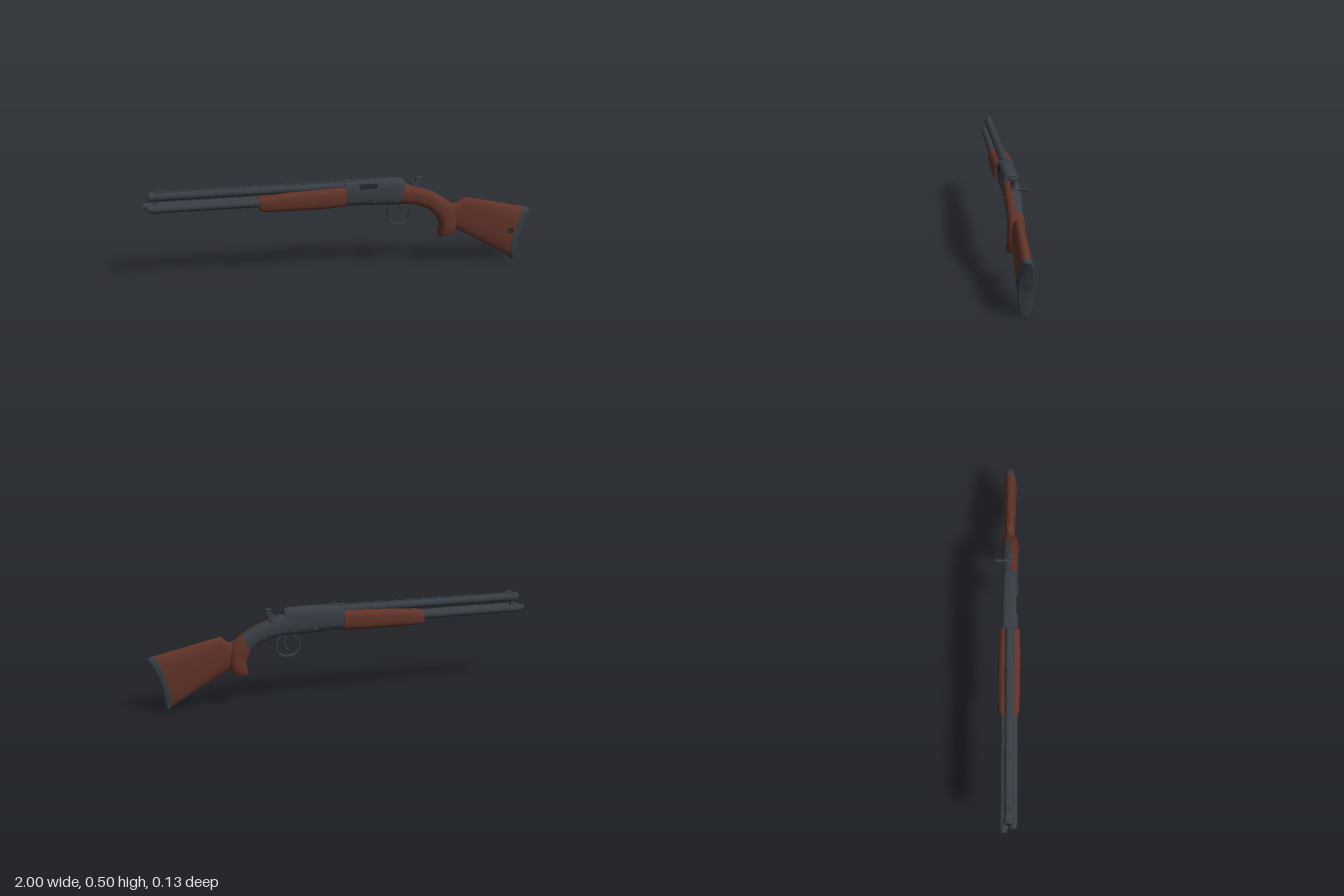
import * as THREE from 'three';
import { toCreasedNormals } from 'three/addons/utils/BufferGeometryUtils.js';

const ZC = 0.009; // centre plane of the gun

export function createModel() {
  const root = new THREE.Group();
  const wood = new THREE.MeshStandardMaterial({ color: 0x5f3228 });
  wood.name = 'walnut wood';
  const metal = new THREE.MeshStandardMaterial({ color: 0x363d43 });
  metal.name = 'blued steel';
  const dark = new THREE.MeshStandardMaterial({ color: 0x1e2226 });
  dark.name = 'dark recess';

  const add = (name, geo, mat, x = 0, y = 0, z = 0, parent = root) => {
    const m = new THREE.Mesh(geo, mat);
    m.name = name;
    m.position.set(x, y, z);
    parent.add(m);
    return m;
  };
  const box = (name, mat, w, h, d, x, y, z = ZC) => add(name, new THREE.BoxGeometry(w, h, d), mat, x, y, z);
  const rod = (name, mat, r, x0, x1, y, z = ZC) =>
    add(name, new THREE.CylinderGeometry(r, r, x1 - x0, 20).rotateZ(-Math.PI / 2), mat, (x0 + x1) / 2, y, z);
  const pin = (name, mat, r, len, x, y, z) =>
    add(name, new THREE.CylinderGeometry(r, r, len, 14).rotateX(Math.PI / 2), mat, x, y, z);

  // Skin over sections [topX, topY, bottomX, bottomY, halfWidth, power, bow]
  const loft = (sections, a0 = 0, a1 = Math.PI * 2, n = 28) => {
    const pw = (v, p) => Math.sign(v) * Math.pow(Math.abs(v), 2 / p);
    const rings = sections.map(([tx, ty, bx, by, w, p = 2.6, bow = 0]) => {
      const ring = [];
      for (let j = 0; j <= n; j++) {
        const a = a0 + ((a1 - a0) * j) / n;
        const u = 0.5 + 0.5 * pw(Math.sin(a), p);
        ring.push([bx + (tx - bx) * u + bow * 4 * u * (1 - u), by + (ty - by) * u, ZC + w * pw(Math.cos(a), p)]);
      }
      return ring;
    });
    const pos = [];
    const tri = (a, b, c) => pos.push(...a, ...b, ...c);
    for (let i = 0; i < rings.length - 1; i++)
      for (let j = 0; j < n; j++) {
        const a = rings[i][j], b = rings[i + 1][j], c = rings[i][j + 1], d = rings[i + 1][j + 1];
        tri(a, b, c);
        tri(b, d, c);
      }
    [0, rings.length - 1].forEach((i) => {
      const [tx, ty, bx, by, , , bow = 0] = sections[i];
      const c = [(tx + bx) / 2 + bow, (ty + by) / 2, ZC];
      for (let j = 0; j < n; j++)
        i === 0 ? tri(c, rings[i][j], rings[i][j + 1]) : tri(c, rings[i][j + 1], rings[i][j]);
    });
    const g = new THREE.BufferGeometry();
    g.setAttribute('position', new THREE.Float32BufferAttribute(pos, 3));
    return toCreasedNormals(g, 0.7);
  };
  // Upright section at one x
  const at = (x, top, bot, w, p) => [x, top, x, bot, w, p];

  // Barrel with muzzle collar, bore and segmented rib
  rod('barrel', metal, 0.022, -0.965, 0.05, 0.465);
  rod('muzzleCollar', metal, 0.025, -0.97, -0.945, 0.465);
  rod('bore', dark, 0.015, -0.973, -0.965, 0.465);
  box('rib', metal, 0.95, 0.008, 0.014, -0.45, 0.485);
  for (let i = 0; i < 9; i++) box('ribSegment', metal, 0.045, 0.005, 0.016, -0.7 + i * 0.085, 0.49);

  // Twin tubes beneath the barrel
  [[-0.013, -0.985], [0.03, -0.965]].forEach(([z, x0]) => {
    rod('lowerTube', metal, 0.0205, x0, 0.03, 0.408, z);
    rod('tubeNose', metal, 0.016, x0 - 0.015, x0, 0.412, z);
    rod('tubeBand', metal, 0.0225, -0.955, -0.94, 0.408, z);
  });
  box('barrelBracket', metal, 0.025, 0.06, 0.024, -0.945, 0.435);

  // Front and rear sights
  const hump = new THREE.Shape();
  hump.moveTo(-0.035, 0);
  hump.quadraticCurveTo(-0.012, 0.022, 0.0, 0.018);
  hump.lineTo(0.035, 0);
  const humpGeo = new THREE.ExtrudeGeometry(hump, { depth: 0.016, bevelEnabled: false });
  add('frontSight', humpGeo, metal, -0.918, 0.484, ZC - 0.008);
  box('rearSightBase', metal, 0.08, 0.008, 0.026, 0.035, 0.491);
  [-1, 1].forEach((s) => box('rearSightEar', metal, 0.02, 0.01, 0.004, 0.05, 0.497, ZC + s * 0.01));

  // Forend
  add('forend', loft([
    at(-0.43, 0.43, 0.37, 0.04, 4),
    at(-0.405, 0.436, 0.36, 0.05, 4),
    at(-0.29, 0.453, 0.357, 0.054, 3.4),
    at(-0.1, 0.462, 0.357, 0.055, 3.4),
    at(0.01, 0.464, 0.361, 0.052, 3.4),
  ]), wood);

  // Receiver with port, bolt and pins
  add('receiver', loft([
    at(0.008, 0.487, 0.364, 0.044, 3),
    at(0.06, 0.493, 0.362, 0.044, 3),
    at(0.2, 0.495, 0.356, 0.042, 3),
    at(0.29, 0.494, 0.352, 0.04, 3),
    at(0.315, 0.484, 0.352, 0.038, 3),
  ]), metal);
  const port = box('loadingPort', dark, 0.09, 0.026, 0.006, 0.125, 0.466, ZC + 0.038);
  port.rotation.x = -0.35;
  [[0.06, 0.4], [0.16, 0.385], [0.23, 0.43], [0.27, 0.385]].forEach(([x, y]) =>
    pin('receiverPin', metal, 0.009, 0.089, x, y, ZC));

  // Wrist: wood on the left half, steel side plate on the right half
  const wrist = [
    at(0.3, 0.468, 0.353, 0.042),
    [0.39, 0.438, 0.37, 0.348, 0.041],
    [0.463, 0.412, 0.447, 0.32, 0.039],
    [0.532, 0.369, 0.49, 0.278, 0.04],
  ];
  const H = Math.PI / 2;
  add('wristWood', loft(wrist, -H, H, 16), wood);
  add('wristPlate', loft(wrist, H, 3 * H, 16), metal);
  pin('wristScrew', metal, 0.011, 0.084, 0.387, 0.395, ZC);

  // Pistol grip flaring at its base
  add('grip', loft([
    wrist[3],
    [0.58, 0.335, 0.512, 0.235, 0.044],
    [0.6, 0.255, 0.51, 0.205, 0.047],
    [0.6, 0.205, 0.503, 0.178, 0.049],
    [0.594, 0.19, 0.508, 0.165, 0.044],
  ]), wood);

  // Butt stock and curved pad
  add('buttStock', loft([
    [0.575, 0.338, 0.575, 0.215, 0.024],
    [0.6, 0.337, 0.595, 0.2, 0.026],
    [0.638, 0.369, 0.62, 0.186, 0.027],
    [0.8, 0.333, 0.76, 0.104, 0.032],
    [0.968, 0.296, 0.895, 0.026, 0.036, 2.6, -0.016],
  ]), wood);
  add('buttPad', loft([
    [0.966, 0.297, 0.893, 0.025, 0.037, 2.6, -0.016],
    [0.988, 0.293, 0.916, 0.004, 0.037, 2.6, -0.02],
    [1.0, 0.285, 0.925, 0.007, 0.031, 2.6, -0.022],
  ]), metal);
  rod('padScrew', dark, 0.009, 0.93, 0.944, 0.152);
  pin('slingStud', dark, 0.014, 0.012, 0.895, 0.176, ZC + 0.034);
  add('slingLoop', new THREE.TorusGeometry(0.01, 0.003, 8, 16).rotateX(H), metal, 0.885, 0.176, ZC + 0.037);

  // Trigger guard and trigger
  const ring = new THREE.Shape().absellipse(0, 0, 0.064, 0.062, 0, Math.PI * 2);
  ring.holes.push(new THREE.Path().absellipse(0, 0, 0.057, 0.055, 0, Math.PI * 2));
  const ringGeo = new THREE.ExtrudeGeometry(ring, { depth: 0.022, bevelEnabled: false, curveSegments: 24 });
  add('triggerGuard', toCreasedNormals(ringGeo, 0.7), metal, 0.295, 0.3, ZC - 0.011);
  const curve = new THREE.CatmullRomCurve3(
    [[0.3, 0.36], [0.31, 0.315], [0.303, 0.285], [0.29, 0.268]].map(([x, y]) => new THREE.Vector3(x, y, ZC)));
  add('trigger', new THREE.TubeGeometry(curve, 14, 0.005, 8), metal);

  // Hammer with spur, and side lever with knob
  const ham = new THREE.Shape();
  ham.moveTo(0.355, 0.43);
  ham.lineTo(0.4, 0.425);
  ham.quadraticCurveTo(0.39, 0.455, 0.405, 0.475);
  ham.lineTo(0.41, 0.492);
  ham.lineTo(0.378, 0.492);
  ham.quadraticCurveTo(0.385, 0.462, 0.36, 0.462);
  ham.closePath();
  add('hammer', new THREE.ExtrudeGeometry(ham, { depth: 0.018, bevelEnabled: false }), metal, 0, 0, ZC - 0.009);
  const spur = add('hammerSpur', new THREE.SphereGeometry(0.016, 14, 10), metal, 0.394, 0.488, ZC);
  spur.scale.set(1.1, 0.5, 1);
  pin('sideLever', metal, 0.006, 0.06, 0.388, 0.435, -0.028);
  pin('leverCollar', metal, 0.011, 0.01, 0.388, 0.435, -0.008);
  pin('leverKnob', metal, 0.009, 0.01, 0.388, 0.435, -0.058);

  return root;
}
